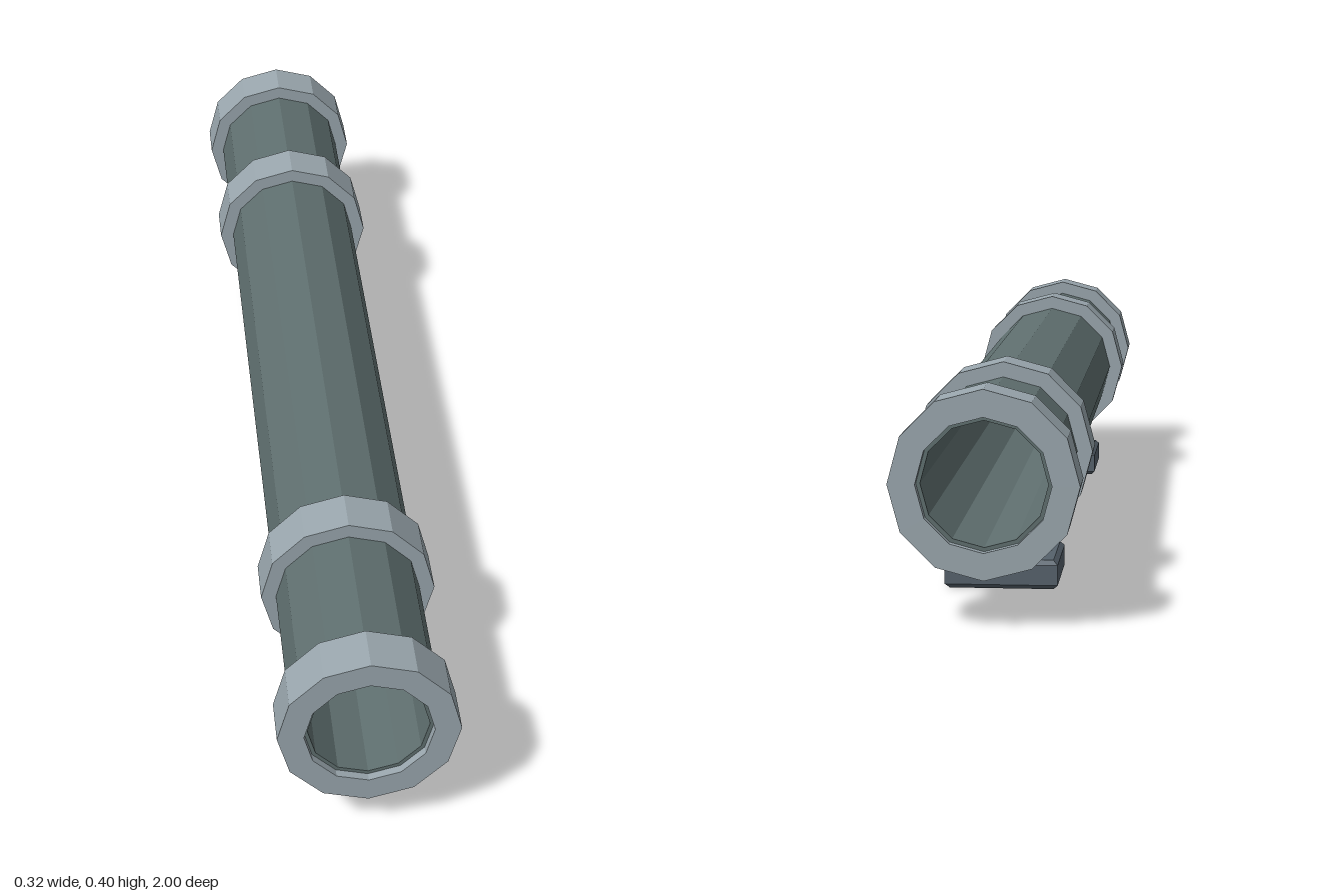
import * as THREE from 'three';

const AXIS_Y = 0.24;
const material = (color) => new THREE.MeshStandardMaterial({ color, flatShading: true });

function addMesh(parent, name, geometry, mat, x = 0, y = 0, z = 0) {
  const mesh = new THREE.Mesh(geometry, mat);
  mesh.name = name;
  mesh.position.set(x, y, z);
  parent.add(mesh);
  return mesh;
}

// Hollow twelve-sided ring along z, with a corner at the top
function ringGeometry(inner, outer, length) {
  const h = length / 2;
  const profile = [[outer, -h], [outer, h], [inner, h], [inner, -h], [outer, -h]]
    .map(([r, y]) => new THREE.Vector2(r, y));
  return new THREE.LatheGeometry(profile, 12).rotateX(Math.PI / 2).toNonIndexed();
}

// Plate with chamfered edges, standing on y = 0
function plateGeometry(width, height, depth, chamfer) {
  const x = width / 2 - chamfer, z = depth / 2 - chamfer;
  const shape = new THREE.Shape([
    new THREE.Vector2(-x, -z), new THREE.Vector2(x, -z),
    new THREE.Vector2(x, z), new THREE.Vector2(-x, z),
  ]);
  return new THREE.ExtrudeGeometry(shape, {
    depth: height - 2 * chamfer, bevelEnabled: true, bevelSegments: 1,
    bevelSize: chamfer, bevelThickness: chamfer,
  }).rotateX(-Math.PI / 2).translate(0, chamfer, 0);
}

export function createModel() {
  const model = new THREE.Group();
  model.name = 'pipe';
  const pipeMat = material(0x5f6f6f);
  const ringMat = material(0x9aa7ae);
  const baseMat = material(0x56626c);

  // Long hollow pipe
  addMesh(model, 'tube', ringGeometry(0.105, 0.131, 1.97), pipeMat, 0, AXIS_Y);

  const flange = ringGeometry(0.112, 0.158, 0.085);
  const plate = plateGeometry(0.2, 0.052, 0.185, 0.008);
  const post = new THREE.CylinderGeometry(0.024, 0.024, 0.07, 8);
  const bolt = new THREE.CylinderGeometry(0.018, 0.018, 0.035, 6);

  for (const side of [1, -1]) {
    // End flange and support collar
    addMesh(model, 'endFlange', flange, ringMat, 0, AXIS_Y, side * 0.9575);
    addMesh(model, 'supportCollar', flange, ringMat, 0, AXIS_Y, side * 0.5975);

    // Foot: plate, post and a bolt on each side
    const foot = new THREE.Group();
    foot.name = 'foot';
    foot.position.z = side * 0.5975;
    model.add(foot);
    addMesh(foot, 'footPlate', plate, baseMat);
    addMesh(foot, 'post', post, ringMat, 0, 0.075);
    for (const x of [-0.065, 0.065]) {
      // Corners of the hexagon point sideways
      addMesh(foot, 'bolt', bolt, ringMat, x, 0.0575).rotation.y = Math.PI / 2;
    }
  }
  return model;
}
